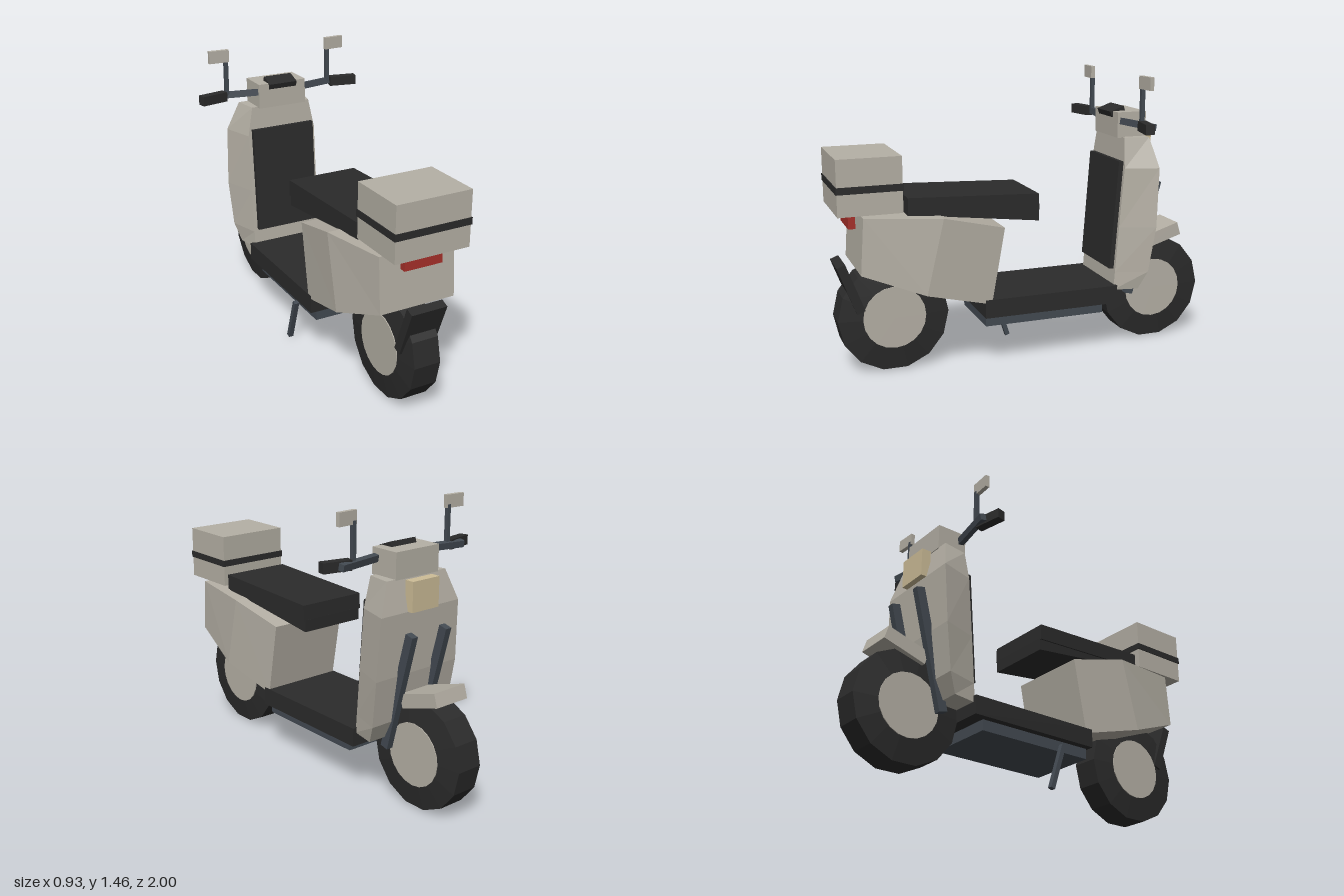
import * as THREE from 'three';

export function createModel() {
  const model = new THREE.Group();
  model.name = 'scooter';
  const mat = (name, color) => {
    const m = new THREE.MeshStandardMaterial({ color });
    m.name = name;
    return m;
  };
  const body = mat('warm grey paint', 0xb5b0a5);
  const black = mat('black rubber', 0x2b2b2b);
  const steel = mat('blue grey steel', 0x434a52);
  const red = mat('red lens', 0xa8302a);
  const cream = mat('cream lens', 0xcdbd97);

  // Adds a mesh with faceted normals
  const add = (name, geo, material, parent = model) => {
    const g = geo.index ? geo.toNonIndexed() : geo;
    g.computeVertexNormals();
    const mesh = new THREE.Mesh(g, material);
    mesh.name = name;
    parent.add(mesh);
    return mesh;
  };
  const box = (name, material, size, pos, tiltX = 0, turnY = 0) => {
    const mesh = add(name, new THREE.BoxGeometry(...size), material);
    mesh.position.set(...pos);
    mesh.rotation.set(tiltX, turnY, 0);
    return mesh;
  };
  // Square bar running between two points
  const beam = (name, material, a, b, w, d = w) => {
    const from = new THREE.Vector3(...a), to = new THREE.Vector3(...b);
    const dir = to.clone().sub(from);
    const mesh = add(name, new THREE.BoxGeometry(w, dir.length(), d), material);
    mesh.position.copy(from).add(to).multiplyScalar(0.5);
    mesh.quaternion.setFromUnitVectors(new THREE.Vector3(0, 1, 0), dir.normalize());
    return mesh;
  };
  // Closed skin over four-cornered rings
  const loft = (rings) => {
    const pos = [];
    const quad = (a, b, c, d) => pos.push(...a, ...b, ...c, ...a, ...c, ...d);
    for (let i = 0; i < rings.length - 1; i++) {
      for (let j = 0; j < 4; j++) {
        const k = (j + 1) % 4;
        quad(rings[i][j], rings[i][k], rings[i + 1][k], rings[i + 1][j]);
      }
    }
    quad(...[...rings[0]].reverse());
    quad(...rings[rings.length - 1]);
    const g = new THREE.BufferGeometry();
    g.setAttribute('position', new THREE.Float32BufferAttribute(pos, 3));
    return g;
  };
  // Side outline given as [z, y], extruded across the width
  const sidePrism = (outline, width) => {
    const shape = new THREE.Shape(outline.map(([z, y]) => new THREE.Vector2(-z, y)));
    const g = new THREE.ExtrudeGeometry(shape, { depth: width, bevelEnabled: false });
    return g.translate(0, 0, -width / 2).rotateY(Math.PI / 2);
  };

  // Wheels: tapered tyre and flat hub disc
  const profile = [[0.14, -0.086], [0.16, -0.086], [0.282, -0.07], [0.282, 0.07], [0.16, 0.086], [0.14, 0.086]];
  for (const [name, z] of [['rearWheel', 0.717], ['frontWheel', -0.717]]) {
    const wheel = new THREE.Group();
    wheel.name = name;
    wheel.position.set(0, 0.285, z);
    wheel.rotation.z = Math.PI / 2;
    add('tyre', new THREE.LatheGeometry(profile.map(p => new THREE.Vector2(...p)), 14), black, wheel);
    add('hub', new THREE.CylinderGeometry(0.16, 0.16, 0.18, 20), body, wheel);
    model.add(wheel);
  }

  // Tail body: half width, bottom y and z, top y and z
  const tail = [
    [0.22, 0.34, 0.25, 0.73, 0.18],
    [0.25, 0.43, 0.59, 0.81, 0.5],
    [0.2, 0.55, 0.9, 0.83, 0.88],
  ];
  add('tailBody', loft(tail.map(([w, yb, zb, yt, zt]) =>
    [[w, yb, zb], [w, yt, zt], [-w, yt, zt], [-w, yb, zb]])), body);

  // Leg shield: y, rear half width and z, front half width and z
  const shield = [
    [0.335, 0.2, -0.43, 0.225, -0.56],
    [0.43, 0.2, -0.437, 0.25, -0.605],
    [0.67, 0.2, -0.455, 0.262, -0.64],
    [0.98, 0.2, -0.48, 0.25, -0.655],
    [1.135, 0.17, -0.49, 0.19, -0.62],
  ];
  add('legShield', loft(shield.map(([y, wr, zr, wf, zf]) =>
    [[wr, y, zr], [wf, y, zf], [-wf, y, zf], [-wr, y, zr]])), body);
  beam('shieldPanel', black, [0, 0.445, -0.43], [0, 1.015, -0.472], 0.36, 0.03);

  // Floor
  box('floorBoard', black, [0.45, 0.095, 0.725], [0, 0.317, -0.078]);
  box('underTray', steel, [0.376, 0.057, 0.645], [0, 0.243, -0.05]);
  beam('kickStand', steel, [-0.213, 0.24, 0.095], [-0.213, 0.005, 0.02], 0.026, 0.024);

  // Seat
  add('seatCushion', sidePrism([[0.66, 0.91], [-0.012, 0.883], [-0.015, 0.8], [0.66, 0.83]], 0.376), black);
  add('seatBase', sidePrism([[0.66, 0.835], [-0.015, 0.805], [-0.015, 0.742], [0.5, 0.805], [0.66, 0.822]], 0.36), black);

  // Luggage box, tail light and rear mudguard
  box('luggageBox', body, [0.392, 0.276, 0.316], [0, 0.98, 0.842]);
  box('luggageBand', black, [0.402, 0.034, 0.324], [0, 0.968, 0.842]);
  box('tailLight', red, [0.2, 0.066, 0.035], [0, 0.792, 0.917]);
  beam('rearMudguard', black, [0, 0.33, 0.885], [0, 0.575, 0.977], 0.19, 0.045);

  // Front mudguard, headlight and steering head
  box('frontMudguard', body, [0.2, 0.07, 0.235], [0, 0.573, -0.752], 0.3);
  box('headlight', cream, [0.17, 0.148, 0.05], [0, 1.055, -0.66]);
  box('steeringHead', body, [0.274, 0.132, 0.16], [0, 1.197, -0.545]);
  box('instrumentPanel', black, [0.16, 0.03, 0.08], [0, 1.26, -0.492], 0.35);

  // Forks, handlebars, grips and mirrors on both sides
  for (const s of [1, -1]) {
    beam('fork', steel, [s * 0.11, 0.28, -0.555], [s * 0.11, 0.885, -0.71], 0.036, 0.046);
    beam('handlebar', steel, [s * 0.12, 1.216, -0.49], [s * 0.39, 1.216, -0.54], 0.034, 0.03);
    box('grip', black, [0.148, 0.05, 0.045], [s * 0.388, 1.216, -0.498], 0, -s * 0.2);
    box('mirrorStem', steel, [0.02, 0.2, 0.02], [s * 0.302, 1.315, -0.518]);
    box('mirror', body, [0.108, 0.065, 0.022], [s * 0.341, 1.43, -0.518], 0, s * 0.06);
  }
  return model;
}
